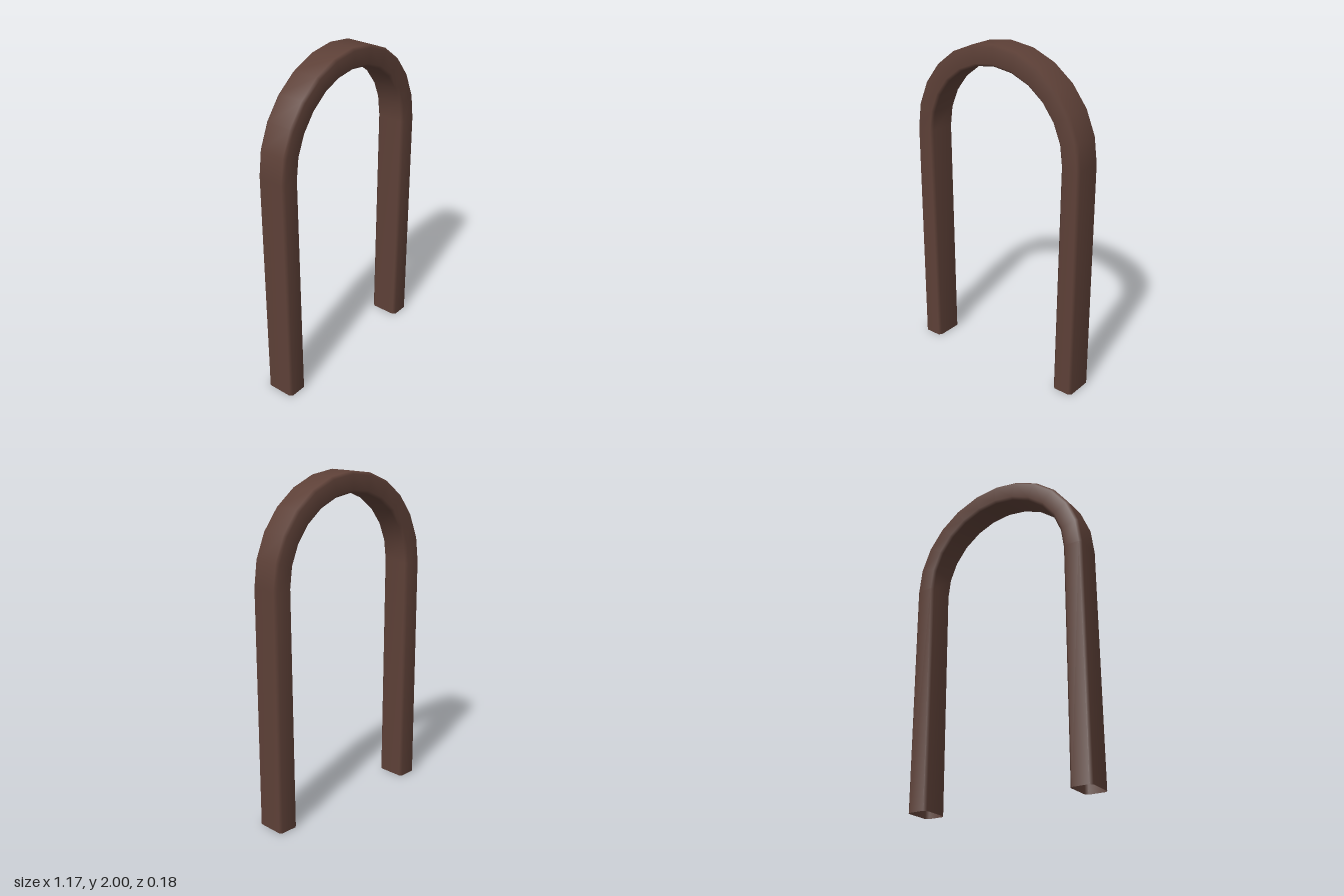
import * as THREE from 'three';

const OUTER = 0.587, INNER = 0.467, FOOT_INNER = 0.457; // half widths of the arch
const DEPTH = 0.092, BEVEL = 0.016, SPRING = 1.413, STEPS = 12;

// Bevelled rectangle in (radius, z)
function section(inner) {
  const b = BEVEL, d = DEPTH, o = OUTER;
  return [
    [o, -d + b], [o, d - b], [o - b, d], [inner + b, d],
    [inner, d - b], [inner, -d + b], [inner + b, -d], [o - b, -d],
  ];
}

// Sweep the section up one leg, around the half circle and down the other leg
function archGeometry() {
  const rings = [{ a: 0, y: 0, inner: FOOT_INNER }];
  for (let i = 0; i <= STEPS; i++) rings.push({ a: (Math.PI * i) / STEPS, y: SPRING, inner: INNER });
  rings.push({ a: Math.PI, y: 0, inner: FOOT_INNER });

  const positions = [], index = [], n = 8;
  rings.forEach(({ a, y, inner }, i) => {
    for (const [r, z] of section(inner)) positions.push(r * Math.cos(a), y + r * Math.sin(a), z);
    if (i === 0) return;
    for (let j = 0; j < n; j++) {
      const p = (i - 1) * n + j, q = (i - 1) * n + ((j + 1) % n);
      index.push(p, p + n, q, q, p + n, q + n);
    }
  });
  const geometry = new THREE.BufferGeometry();
  geometry.setAttribute('position', new THREE.Float32BufferAttribute(positions, 3));
  geometry.setIndex(index);
  geometry.computeVertexNormals();
  return geometry;
}

export function createModel() {
  const group = new THREE.Group();
  group.name = 'archway';
  // The feet are open, so the inside is visible from below
  const material = new THREE.MeshStandardMaterial({ color: 0x5d4037, side: THREE.DoubleSide });
  const frame = new THREE.Mesh(archGeometry(), material);
  frame.name = 'archFrame';
  group.add(frame);
  return group;
}
